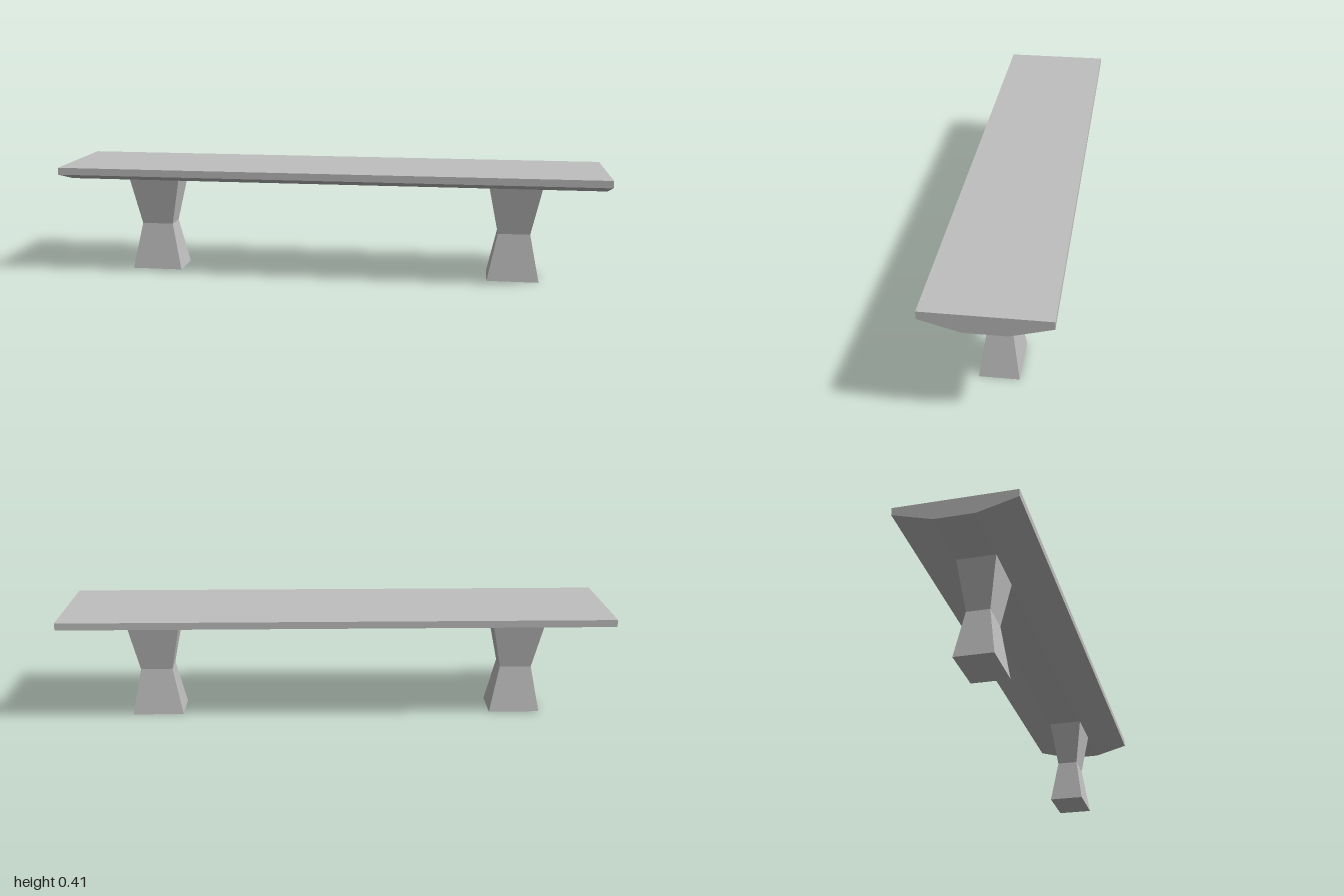
import * as THREE from 'three';

export function createModel() {
  const model = new THREE.Group();
  model.name = 'bench';
  const concrete = new THREE.MeshStandardMaterial({ color: 0xbfbfbf, flatShading: true });
  concrete.name = 'concrete grey';

  // Seat slab: flat top, thin edges, sloping underside
  const profile = new THREE.Shape([
    [-0.067, 0.349], [0.067, 0.349], [0.201, 0.386],
    [0.201, 0.412], [-0.201, 0.412], [-0.201, 0.386],
  ].map(([z, y]) => new THREE.Vector2(z, y)));
  const seatGeometry = new THREE.ExtrudeGeometry(profile, { depth: 2, bevelEnabled: false });
  seatGeometry.translate(0, 0, -1).rotateY(Math.PI / 2);
  const seat = new THREE.Mesh(seatGeometry, concrete);
  seat.name = 'seat';
  model.add(seat);

  // Hourglass legs: a box pinched at mid height
  const legGeometry = new THREE.BoxGeometry(0.19, 0.349, 0.133, 1, 2, 1);
  const p = legGeometry.attributes.position;
  for (let i = 0; i < p.count; i++) {
    if (Math.abs(p.getY(i)) < 0.01) {
      p.setX(i, Math.sign(p.getX(i)) * 0.059);
      p.setZ(i, Math.sign(p.getZ(i)) * 0.04);
    }
  }
  legGeometry.translate(0, 0.1745, 0);
  legGeometry.computeVertexNormals();
  for (const side of [-1, 1]) {
    const leg = new THREE.Mesh(legGeometry, concrete);
    leg.name = side > 0 ? 'leftLeg' : 'rightLeg';
    leg.position.x = side * 0.678;
    model.add(leg);
  }
  return model;
}
